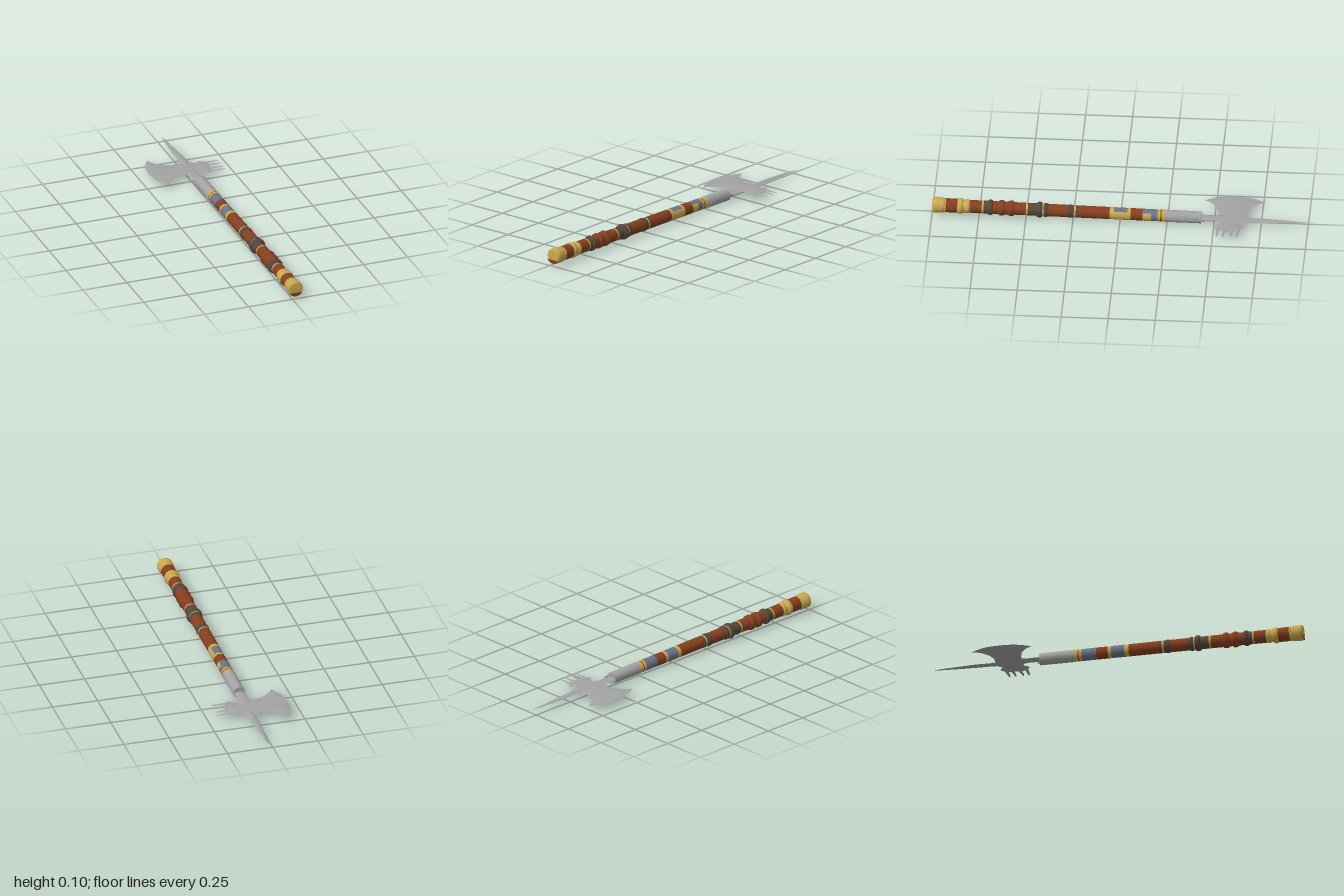
import * as THREE from 'three';

const mat = (name, color, side = THREE.FrontSide) => {
  const m = new THREE.MeshStandardMaterial({ color, side });
  m.name = name;
  return m;
};

export function createModel() {
  const steel = mat('steel', 0xa3a3a5);
  const gold = mat('gold', 0xc9a950);
  const brown = mat('redBrownWood', 0x85401f);
  const dark = mat('darkLeather', 0x57463c);
  const blue = mat('blueGreyInlay', 0x6c7385);

  const root = new THREE.Group();
  root.name = 'poleaxe';
  // The whole weapon lies along z and tips down slightly towards its head
  root.position.set(0.02, 0.042, 0);
  root.rotation.x = -0.0155;

  const add = (name, geometry, material, parent = root) => {
    const m = new THREE.Mesh(geometry, material);
    m.name = name;
    parent.add(m);
    return m;
  };

  // Turned part around the z axis; points are [z, radius] with z rising
  const turned = (name, material, points, phi = 0, sweep = Math.PI * 2) => {
    const segs = Math.max(4, Math.round(16 * sweep / (Math.PI * 2)));
    const g = new THREE.LatheGeometry(points.map(([z, r]) => new THREE.Vector2(r, z)), segs, phi, sweep);
    g.rotateX(Math.PI / 2);
    return add(name, g, material);
  };

  // Shaft radius grows gently towards the pommel
  const radius = z => 0.0325 + 0.0025 * z;

  // Coloured shaft sections from the pommel to the socket
  const bands = [
    [0.865, 0.935, brown], [0.80, 0.865, gold], [0.735, 0.80, brown], [0.725, 0.735, gold],
    [0.68, 0.725, dark], [0.50, 0.68, brown], [0.49, 0.50, gold], [0.44, 0.49, dark],
    [0.38, 0.44, dark], [0.28, 0.38, brown], [0.245, 0.28, dark], [0.235, 0.245, gold],
    [0.225, 0.235, dark], [0.055, 0.225, brown], [0.032, 0.055, gold], [-0.04, 0.032, blue],
    [-0.057, -0.04, gold], [-0.12, -0.057, brown], [-0.20, -0.12, blue],
    [-0.215, -0.20, gold], [-0.221, -0.215, brown], [-0.24, -0.221, gold],
  ];
  for (const [a, b, m] of bands) {
    const k = a > 0.8 ? 0.003 : 0;
    turned('shaftBand', m, [[a, radius(a) + k], [b, radius(b) + k]]);
  }

  // Rounded rings on the grip: centre, half width, radius
  const rings = [
    [0.85, 0.016, 0.043, gold], [0.69, 0.014, 0.042, dark], [0.63, 0.018, 0.042, brown],
    [0.58, 0.018, 0.042, brown], [0.428, 0.016, 0.043, dark], [0.395, 0.012, 0.038, dark],
    [0.265, 0.012, 0.036, dark], [0.812, 0.01, 0.038, gold],
  ];
  for (const [z, w, r, m] of rings) {
    const base = radius(z) - 0.001;
    const profile = [];
    for (let i = 0; i <= 6; i++) {
      const a = Math.PI * i / 6;
      profile.push([z - w * Math.cos(a), base + (r - base) * Math.sin(a)]);
    }
    turned('gripRing', m, profile);
  }
  // Thin gold trim lines beside the dark wraps
  for (const z of [0.41, 0.93]) {
    const r = radius(z) + (z > 0.8 ? 0.004 : 0.001);
    turned('goldTrim', gold, [[z - 0.004, r], [z + 0.004, r]]);
  }

  // Gold panels let into the side of the blue sections
  for (const [a, b] of [[-0.04, 0.032], [-0.165, -0.12]]) {
    turned('sidePanel', gold, [[a, radius(a) + 0.001], [b, radius(b) + 0.001]], Math.PI * 0.25, Math.PI * 0.5);
  }

  // Pommel cap with a dark lower segment on its end
  turned('pommel', gold, [[0.935, 0.036], [0.94, 0.041], [0.985, 0.043], [0.985, 0.043], [0.994, 0.041], [0.998, 0.036], [0.998, 0]]);
  const chord = new THREE.Shape();
  chord.absarc(0, 0, 0.041, Math.PI * 1.16, Math.PI * 1.84, false);
  chord.closePath();
  add('pommelEndInlay', new THREE.ShapeGeometry(chord, 10), brown).position.z = 0.999;

  // Steel socket
  turned('socket', steel, [[-0.43, 0], [-0.43, 0.032], [-0.43, 0.032], [-0.24, 0.033]]);

  // Blade loft along x: stations are [x, zLow, zHigh, half thickness]
  const loft = stations => {
    const pos = [], idx = [];
    for (const [x, lo, hi, t] of stations) {
      const at = f => lo + (hi - lo) * f;
      pos.push(x, 0, lo, x, t, at(0.3), x, t, at(0.7), x, 0, hi, x, -t, at(0.7), x, -t, at(0.3));
    }
    for (let s = 0; s + 1 < stations.length; s++) {
      for (let k = 0; k < 6; k++) {
        const a = s * 6 + k, b = s * 6 + (k + 1) % 6;
        idx.push(a, b, a + 6, b, b + 6, a + 6);
      }
    }
    const last = (stations.length - 1) * 6;
    for (let k = 1; k < 5; k++) idx.push(0, k + 1, k, last, last + k, last + k + 1);
    const g = new THREE.BufferGeometry();
    g.setAttribute('position', new THREE.Float32BufferAttribute(pos, 3));
    g.setIndex(idx);
    const flat = g.toNonIndexed();
    flat.computeVertexNormals();
    return flat;
  };

  const head = new THREE.Group();
  head.name = 'axeHead';
  head.position.x = -0.02;
  root.add(head);

  // Crescent blade running into the clawed back plate
  add('crescentBlade', loft([
    [-0.2, -0.63, -0.58, 0.0005], [-0.195, -0.675, -0.535, 0.001], [-0.183, -0.71, -0.497, 0.002],
    [-0.168, -0.738, -0.467, 0.003], [-0.15, -0.765, -0.44, 0.004], [-0.138, -0.732, -0.465, 0.004],
    [-0.12, -0.708, -0.483, 0.004], [-0.085, -0.68, -0.508, 0.004], [-0.04, -0.665, -0.52, 0.004],
    [0, -0.67, -0.525, 0.004], [0.05, -0.67, -0.525, 0.003], [0.072, -0.643, -0.528, 0.003],
    [0.102, -0.663, -0.5, 0.005], [0.125, -0.643, -0.515, 0.002], [0.138, -0.622, -0.535, 0.001],
  ]), steel, head);

  // Four pointed claws: root z, tip z
  for (const [z0, z1] of [[-0.632, -0.63], [-0.60, -0.597], [-0.56, -0.556], [-0.525, -0.524]]) {
    add('claw', loft([
      [0.105, z0 - 0.014, z0 + 0.014, 0.003], [0.14, z0 - 0.009, z0 + 0.009, 0.0025],
      [0.185, z1 - 0.006, z1 + 0.006, 0.001], [0.2, z1 - 0.003, z1 + 0.003, 0.0005],
    ]), steel, head);
  }

  // Top spike and neck, lofted along x then turned to point towards -z
  add('topSpike', loft([
    [0.62, 0.005, 0.045, 0.004], [0.672, 0.008, 0.045, 0.005], [0.685, 0, 0.054, 0.005],
    [0.695, 0.006, 0.047, 0.005], [0.77, 0.003, 0.044, 0.006], [0.86, 0.009, 0.038, 0.005],
    [0.94, 0.015, 0.032, 0.003], [1.0, 0.022, 0.026, 0.0008],
  ]).rotateY(Math.PI / 2), steel, head);
  add('neck', loft([
    [0.40, -0.008, 0.048, 0.006], [0.44, -0.008, 0.05, 0.006], [0.5, -0.008, 0.047, 0.005],
    [0.53, -0.016, 0.056, 0.005], [0.6, -0.02, 0.06, 0.0045],
  ]).rotateY(Math.PI / 2), steel, head);

  // Langet strip along the side of the socket
  const langet = add('langet', new THREE.BoxGeometry(0.008, 0.012, 0.18), steel, head);
  langet.position.set(0.05, 0, -0.36);

  const model = new THREE.Group();
  model.name = 'model';
  model.add(root);
  return model;
}
